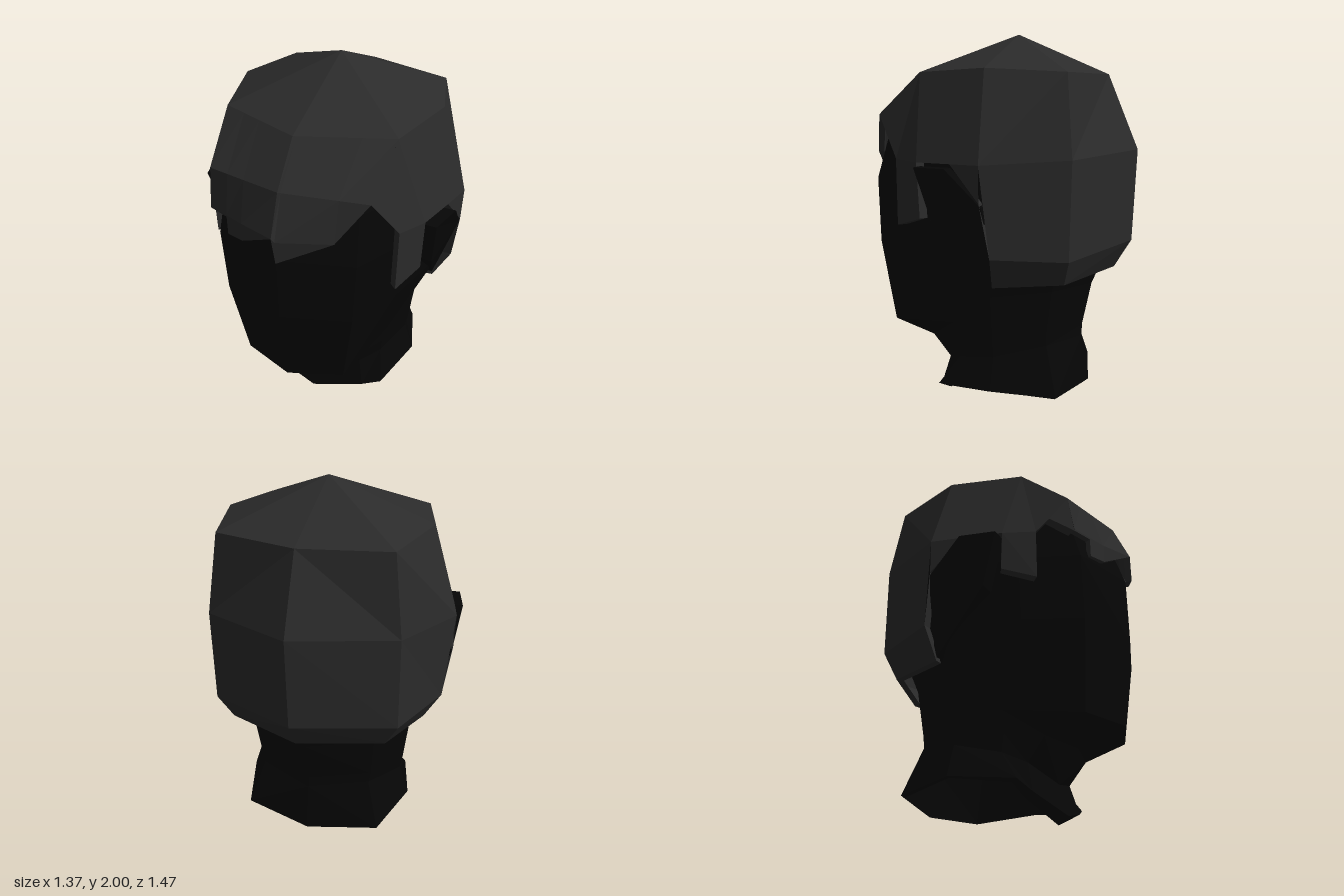
import * as THREE from 'three';

const CENTER = new THREE.Vector3(0, 1, -0.05);

// Low-poly mesh from triangles, each turned to face away from the given centre
function facetMesh(name, color, tris, center = CENTER) {
  const pos = [];
  for (const t of tris) {
    const [a, b, c] = t.map((p) => new THREE.Vector3(...p));
    const n = b.clone().sub(a).cross(c.clone().sub(a));
    if (n.lengthSq() < 1e-12) continue;
    const mid = a.clone().add(b).add(c).divideScalar(3).sub(center);
    const order = n.dot(mid) < 0 ? [a, c, b] : [a, b, c];
    for (const v of order) pos.push(v.x, v.y, v.z);
  }
  const geo = new THREE.BufferGeometry();
  geo.setAttribute('position', new THREE.Float32BufferAttribute(pos, 3));
  geo.computeVertexNormals();
  const mat = new THREE.MeshStandardMaterial({ color, flatShading: true, side: THREE.DoubleSide });
  const mesh = new THREE.Mesh(geo, mat);
  mesh.name = name;
  return mesh;
}

// Triangles joining two point rows of equal length
function strip(a, b) {
  const out = [];
  for (let i = 0; i + 1 < a.length; i++) {
    out.push([a[i], b[i], a[i + 1]], [a[i + 1], b[i], b[i + 1]]);
  }
  return out;
}

const flip = (row, s) => row.map(([x, y, z]) => [x * s, y, z]);
const inset = (row, k = 0.93) => row.map(([x, y, z]) => [x * k, y, (z + 0.08) * k - 0.08]);

const HAIR = 0x2b2b2b;
const SKIN = 0x060606;
const AXIS_Z = -0.08;

// Half cross-section of head or neck, from front centre to back centre;
// rise is how early the height climbs from its front to its side value,
// cheek and nape are how far the two corner points reach forward and back
function skinRow([yFront, ySide, yBack, zFront, width, zBack, rise, cheek = 0.5, nape = 0.68]) {
  const yAt = (t) => yFront + (ySide - yFront) * t;
  const zTo = (end, t) => AXIS_Z + (end - AXIS_Z) * t;
  return [
    [0, yFront, zFront],
    [0.6 * width, yAt(rise), zTo(zFront, 0.86)],
    [0.82 * width, yAt(0.2 + 1.2 * rise), zTo(zFront, cheek)],
    [width, ySide, AXIS_Z],
    [(0.3 + 0.62 * nape) * width, yBack + 0.02, zTo(zBack, nape)],
    [0, yBack, zBack],
  ];
}

// Forehead, temples, cheeks, jaw, throat, collar and its turned-in lip
const SKIN_ROWS = [
  [1.65, 1.55, 1.55, 0.5, 0.5, -0.55, 0.1],
  [1.5, 1.4, 1.4, 0.62, 0.58, -0.62, 0.1],
  [1.25, 1.2, 1.2, 0.7, 0.61, -0.62, 0.1],
  [0.9, 0.9, 0.9, 0.7, 0.58, -0.6, 0],
  [0.45, 0.67, 0.67, 0.645, 0.47, -0.5, 0, 0.32],
  [0.37, 0.42, 0.43, 0.39, 0.44, -0.45, 0.1],
  [0.2, 0.34, 0.37, 0.28, 0.425, -0.45, 0.4, 0.6],
  [0.04, 0.175, 0.12, 0.325, 0.48, -0.49, 0.5, 0.79, 0.79],
  [0, 0.17, 0.11, 0.27, 0.46, -0.48, 0.5, 0.82, 0.79],
].map(skinRow);

// Hair rows for one side, from the temple round to the back centre
const CROWN = [[0.44, 1.79, 0.3], [0.54, 1.8, -0.08], [0.44, 1.78, -0.46], [0, 1.785, -0.57]];
const WIDEST = [
  [0.41, 1.58, 0.55], [0.505, 1.36, 0.41], [0.585, 1.35, 0.26], [0.64, 1.35, 0.06],
  [0.68, 1.35, -0.1], [0.49, 1.37, -0.5], [0, 1.4, -0.73],
];
const NAPE_FOLD = [[0.64, 0.9, -0.14], [0.49, 0.88, -0.49], [0, 0.92, -0.71]];
const NAPE_EDGE = [[0.55, 0.74, -0.12], [0.42, 0.75, -0.45], [0, 0.77, -0.62]];

// Ragged fringe edge, from the model's right to its left
const FRINGE = [
  [-0.41, 1.37, 0.58], [-0.3, 1.37, 0.62], [-0.3, 1.27, 0.62], [-0.2, 1.28, 0.656],
  [0, 1.4, 0.735], [0.015, 1.26, 0.73], [0.27, 1.38, 0.635], [0.41, 1.58, 0.55],
];

function hairSide(s) {
  const [p1, p2, p3, p4] = CROWN;
  const lift = s < 0 ? 0.08 : 0;
  const burn = [[0.5, 1.02 + lift, 0.41], [0.575, 1.07 + lift, 0.25]];
  const earCorner = [0.675, 1.17, -0.1];
  const edge = [
    WIDEST[0], WIDEST[1], ...burn, WIDEST[2], WIDEST[3], earCorner, NAPE_FOLD[0], ...NAPE_EDGE,
  ];
  const tris = [
    ...strip([p1, p1, p1, p2, p2, p3, p4], WIDEST),
    ...strip(WIDEST.slice(1, 3), burn), // sideburn
    [WIDEST[3], WIDEST[4], earCorner],
    ...strip(WIDEST.slice(4), NAPE_FOLD),
    ...strip(NAPE_FOLD, NAPE_EDGE),
    ...strip(edge, inset(edge)), // thickness of the cut edge
  ];
  return tris.map((t) => flip(t, s));
}

function hairTriangles() {
  const apex = [0, 2, AXIS_Z];
  const ring = [[0, 1.8, 0.48], ...CROWN];
  const tris = [];
  for (const s of [1, -1]) {
    const r = flip(ring, s);
    for (let i = 0; i < 4; i++) tris.push([apex, r[i], r[i + 1]]);
    tris.push(...hairSide(s));
  }
  // Front of the hair, bulging over the forehead, with ragged locks hanging below
  const top = FRINGE.map(([x]) => [x * 1.073, 1.8 - 0.024 * Math.abs(x), 0.48 - 0.439 * Math.abs(x)]);
  const brow = FRINGE.map(([x]) => [x, 1.6 - 0.05 * Math.abs(x), 0.65 - 0.244 * Math.abs(x)]);
  const hem = FRINGE.map(([x, y, z]) => [x, Math.max(y, 1.38), z]);
  tris.push(...strip(top, brow), ...strip(brow, hem), ...strip(hem, FRINGE));
  tris.push(...strip(FRINGE, inset(FRINGE, 0.96)));
  // Lock joining the fringe to the right temple
  const root = [-0.41, 1.58, 0.55];
  const lock = [FRINGE[0], [-0.47, 1.44, 0.47], [-0.505, 1.36, 0.41]];
  tris.push(...strip([root, root, root], lock), ...strip(lock, inset(lock)));
  return tris;
}

function earTriangles(s) {
  const outer = [
    [0.67, 1.15, -0.11], [0.685, 1.33, 0.07], [0.64, 1.33, 0.25], [0.61, 1.06, 0.17], [0.545, 0.75, -0.13],
  ];
  const inner = outer.map(([x, y, z]) => [x - 0.08, y, z]);
  const loop = (r) => [...r, r[0]];
  const tris = strip(loop(outer), loop(inner));
  for (const r of [outer, inner]) for (let i = 1; i < 4; i++) tris.push([r[0], r[i], r[i + 1]]);
  return tris.map((t) => flip(t, s));
}

export function createModel() {
  const group = new THREE.Group();
  group.name = 'head';

  const skin = [];
  for (const s of [1, -1]) {
    for (let i = 0; i + 1 < SKIN_ROWS.length; i++) {
      skin.push(...strip(flip(SKIN_ROWS[i], s), flip(SKIN_ROWS[i + 1], s)));
    }
  }
  group.add(facetMesh('faceAndNeck', SKIN, skin));
  group.add(facetMesh('hair', HAIR, hairTriangles()));
  for (const [name, s] of [['leftEar', 1], ['rightEar', -1]]) {
    group.add(facetMesh(name, SKIN, earTriangles(s), new THREE.Vector3(0.6 * s, 1.13, 0.06)));
  }
  return group;
}
